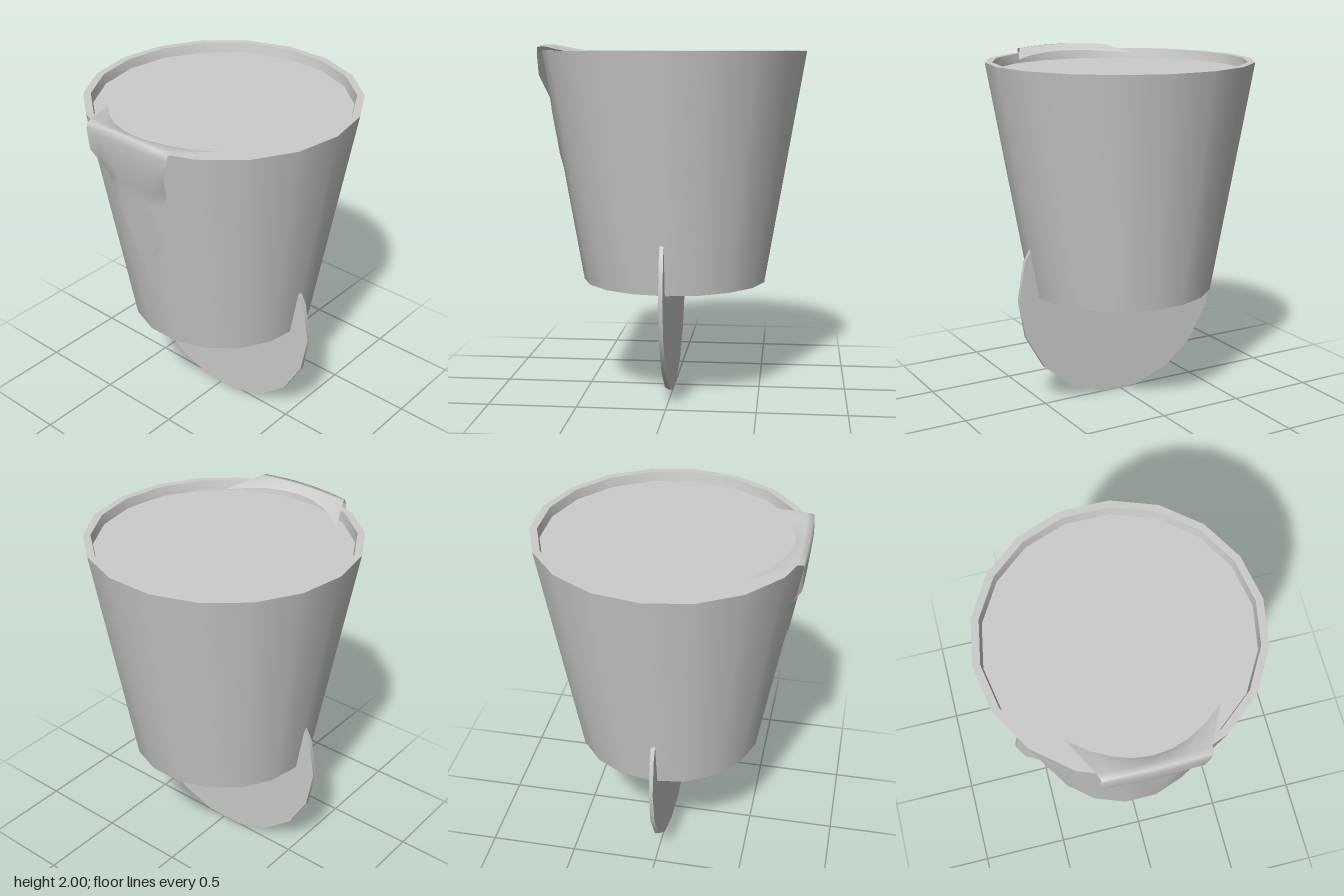
import * as THREE from 'three';
import { toCreasedNormals } from 'three/addons/utils/BufferGeometryUtils.js';

const SIDES = 18;
const BASE_Y = 0.65, RIM_Y = 1.965, BASE_R = 0.53, RIM_R = 0.757, CENTRE_Z = -0.004;

const grey = () => new THREE.MeshStandardMaterial({ color: 0xcccccc });

function part(name, geometry, material = grey()) {
  const mesh = new THREE.Mesh(geometry, material);
  mesh.name = name;
  return mesh;
}

// Front surface of the faceted tub at a given x and height
function tubFront(x, y) {
  const r = THREE.MathUtils.lerp(BASE_R, RIM_R, (y - BASE_Y) / (RIM_Y - BASE_Y));
  const apothem = r * Math.cos(Math.PI / SIDES);
  let z = Infinity;
  for (const deg of [90, 70, 50]) {
    const a = THREE.MathUtils.degToRad(deg);
    z = Math.min(z, (apothem - Math.abs(x) * Math.cos(a)) / Math.sin(a));
  }
  return z + CENTRE_Z;
}

// Tapered tub with a narrow rim and a slightly sunken top surface
function makeTub() {
  const profile = [
    [0, BASE_Y], [BASE_R, BASE_Y], [RIM_R, RIM_Y],
    [0.716, RIM_Y], [0.706, 1.91], [0, 1.91],
  ].map(([x, y]) => new THREE.Vector2(x, y));
  const geo = new THREE.LatheGeometry(profile, SIDES, Math.PI / 2);
  const tub = part('tub', toCreasedNormals(geo, 0.6));
  tub.position.z = CENTRE_Z;
  return tub;
}

// Thin upright disc pushed into the base
function makeDisc() {
  const geo = new THREE.CylinderGeometry(0.652, 0.652, 0.023, SIDES);
  geo.rotateY(Math.PI / 2);
  geo.rotateX(Math.PI / 2);
  const disc = part('uprightDisc', toCreasedNormals(geo, 0.6));
  disc.position.set(0, 0.645, 0.011);
  return disc;
}

// Sheet that folds over the rim and hangs to a ragged point
function makeFlap() {
  const COLS = 8;
  // Folded rows: left x, right x, y and z in the middle, y and z at the edges
  const folded = [
    [-0.395, 0.395, 1.965, 0.665, 1.945, 0.48],
    [-0.29, 0.29, 2.0, 0.71, 1.99, 0.695],
    [-0.275, 0.285, 2.0, 0.742, 1.985, 0.735],
    [-0.285, 0.28, 1.95, 0.75, 1.95, 0.738],
    [-0.27, 0.25, 1.83, 0.738, 1.83, 0.735],
  ];
  // Hanging rows: left x, right x, y
  const hanging = [
    [-0.205, 0.21, 1.7], [-0.195, 0.17, 1.62], [-0.185, 0.163, 1.55],
    [-0.12, 0.156, 1.48], [-0.094, 0.145, 1.38], [-0.05, 0.05, 1.22],
    [0.005, 0.005, 1.03],
  ];
  const positions = [], index = [];
  for (const [x0, x1, y, z, edgeY, edgeZ] of folded) {
    for (let c = 0; c <= COLS; c++) {
      const t = c / COLS, bend = (2 * t - 1) ** 2;
      positions.push(
        THREE.MathUtils.lerp(x0, x1, t),
        THREE.MathUtils.lerp(y, edgeY, bend),
        THREE.MathUtils.lerp(z, edgeZ, bend),
      );
    }
  }
  for (const [x0, x1, y] of hanging) {
    for (let c = 0; c <= COLS; c++) {
      const x = THREE.MathUtils.lerp(x0, x1, c / COLS);
      positions.push(x, y, tubFront(x, y) + 0.008);
    }
  }
  const row = COLS + 1;
  for (let r = 0; r < folded.length + hanging.length - 1; r++) {
    for (let c = 0; c < COLS; c++) {
      const a = r * row + c, b = a + row;
      index.push(a, b, a + 1, b, b + 1, a + 1);
    }
  }
  const geo = new THREE.BufferGeometry();
  geo.setAttribute('position', new THREE.Float32BufferAttribute(positions, 3));
  geo.setIndex(index);
  geo.computeVertexNormals();
  const material = grey();
  material.side = THREE.DoubleSide;
  return part('hangingFlap', geo, material);
}

export function createModel() {
  const model = new THREE.Group();
  model.name = 'tubWithFlap';
  model.add(makeTub(), makeDisc(), makeFlap());
  return model;
}
